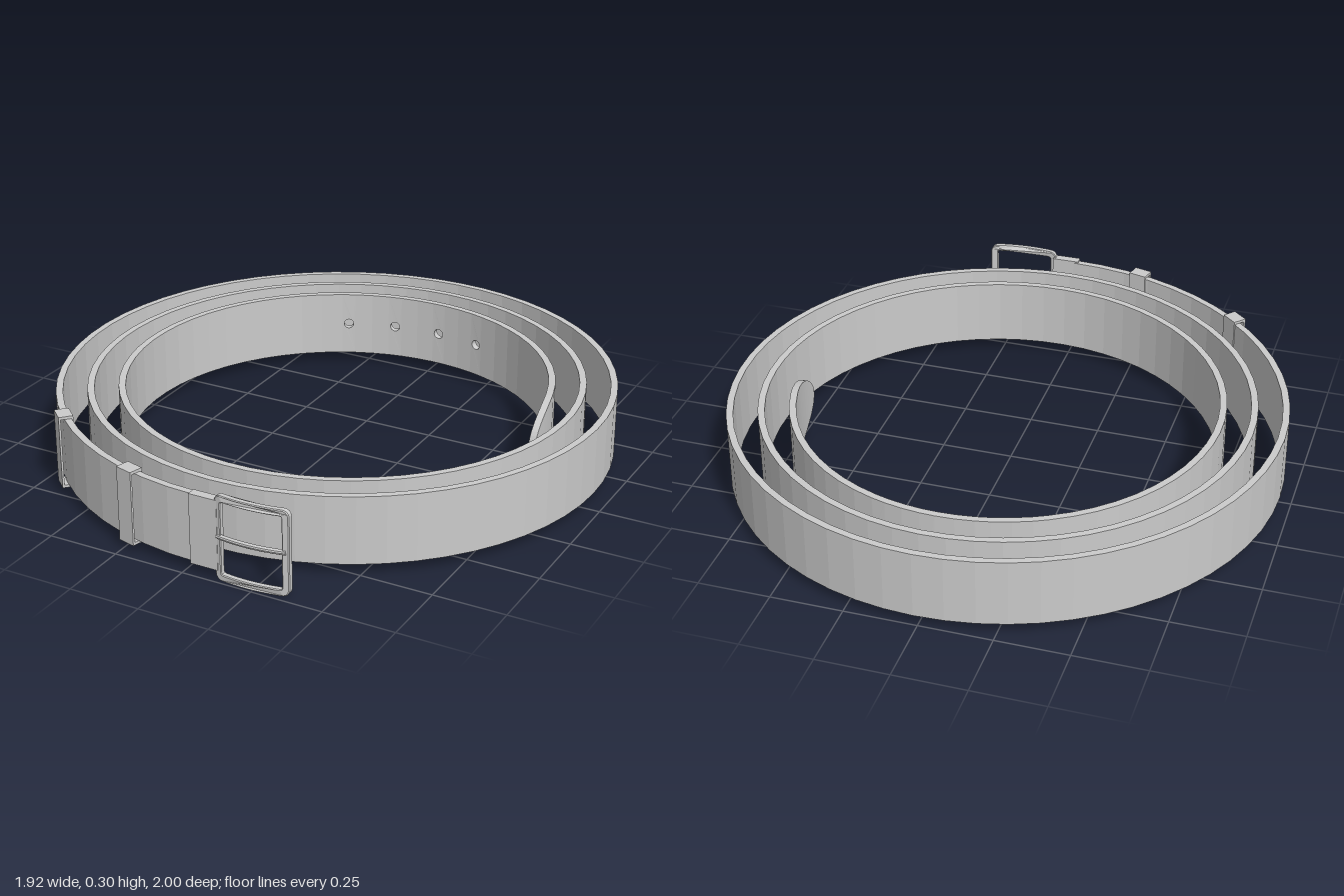
import * as THREE from 'three';
import { mergeGeometries } from 'three/addons/utils/BufferGeometryUtils.js';

const RAD = Math.PI / 180;
const CX = 0.024, CZ = -0.039;         // spiral centre
const MID = 0.156, H = 0.238, T = 0.024; // strap mid height, width, thickness
const radius = (t) => 1.003 - 0.107 * t / (2 * Math.PI);

const material = new THREE.MeshStandardMaterial({ color: 0xcccccc, flatShading: true });

function part(name, geometry) {
  const mesh = new THREE.Mesh(geometry, material);
  mesh.name = name;
  return mesh;
}

// Move every vertex of a geometry by a rule
function warp(geometry, rule) {
  const p = geometry.attributes.position, v = new THREE.Vector3();
  for (let i = 0; i < p.count; i++) {
    rule(v.fromBufferAttribute(p, i));
    p.setXYZ(i, v.x, v.y, v.z);
  }
  const flat = geometry.index ? geometry.toNonIndexed() : geometry;
  flat.computeVertexNormals();
  return flat;
}

// Flat strap space (x = -angle, y = height, z = outward) onto the spiral
function coil(v) {
  const t = -v.x, r = radius(t) + v.z;
  v.set(CX - r * Math.sin(t), MID + v.y, CZ + r * Math.cos(t));
}

// Plain run of strap between two angles in degrees
function plainRun(a, b) {
  const segments = Math.max(1, Math.round((b - a) / 6));
  const g = new THREE.BoxGeometry((b - a) * RAD, H, T, segments, 1, 1);
  return warp(g.translate(-(a + b) / 2 * RAD, 0, 0), coil);
}

// Short patch of strap with a punched hole
function holePatch(a, half) {
  const w = half * RAD, s = new THREE.Shape();
  s.moveTo(-w, -H / 2).lineTo(w, -H / 2).lineTo(w, H / 2).lineTo(-w, H / 2).closePath();
  s.holes.push(new THREE.Path().absellipse(0, 0, 0.018 / radius(a * RAD), 0.018, 0, Math.PI * 2, true));
  const g = new THREE.ExtrudeGeometry(s, { depth: T, bevelEnabled: false, curveSegments: 16 });
  return warp(g.translate(-a * RAD, 0, -T / 2), coil);
}

// Rounded strap end
function tip(a, b) {
  const g = new THREE.BoxGeometry(1, H, T, 14, 1, 1);
  return warp(g, (v) => {
    const f = (0.5 - v.x) * Math.PI / 2;
    v.x = -(a + (b - a) * Math.sin(f)) * RAD;
    v.y *= Math.max(Math.cos(f), 0.02);
    coil(v);
  });
}

function strap() {
  const pieces = [], tipStart = 974, half = 2;
  let from = -1;
  for (const a of [873, 887, 901, 914.5]) {
    pieces.push(plainRun(from, a - half), holePatch(a, half));
    from = a + half;
  }
  pieces.push(plainRun(from, tipStart), tip(tipStart, 990));
  const clean = pieces.map((g) => {
    g.deleteAttribute('uv');
    g.clearGroups();
    return g;
  });
  return part('strap', mergeGeometries(clean));
}

function rectPath(w, h, Path = THREE.Path) {
  return new Path().moveTo(-w / 2, -h / 2).lineTo(w / 2, -h / 2).lineTo(w / 2, h / 2).lineTo(-w / 2, h / 2).closePath();
}

// Hollow band round the strap
function keeper(name, degrees) {
  const t = degrees * RAD, r = radius(t) + 0.007;
  const s = rectPath(0.05, 0.262, THREE.Shape);
  s.holes.push(rectPath(0.036, 0.242));
  const g = new THREE.ExtrudeGeometry(s, { depth: 0.065, bevelEnabled: false });
  const mesh = part(name, g.translate(0, 0, -0.0325));
  mesh.position.set(CX - r * Math.sin(t), MID, CZ + r * Math.cos(t));
  mesh.rotation.y = Math.atan2(-Math.cos(t), -Math.sin(t));
  return mesh;
}

// Evenly spaced points of a rounded rectangle
function roundedPoints(w, h, r) {
  const p = new THREE.Path(), x = w / 2 - r, y = h / 2 - r;
  p.absarc(x, y, r, 0, Math.PI / 2);
  p.absarc(-x, y, r, Math.PI / 2, Math.PI);
  p.absarc(-x, -y, r, Math.PI, Math.PI * 1.5);
  p.absarc(x, -y, r, Math.PI * 1.5, Math.PI * 2);
  p.closePath();
  return p.getSpacedPoints(120).slice(0, -1);
}

// Gentle forward bow of the buckle
const bow = (v) => { v.z += 0.983 - 0.9 * (v.x - 0.22) ** 2; };

function buckle() {
  const group = new THREE.Group();
  group.name = 'buckle';
  const b = 0.003;
  const s = new THREE.Shape(roundedPoints(0.258 - 2 * b, 0.3 - 2 * b, 0.02));
  s.holes.push(new THREE.Path(roundedPoints(0.212 + 2 * b, 0.254 + 2 * b, 0.009)));
  const frame = new THREE.ExtrudeGeometry(s, {
    depth: 0.016, bevelEnabled: true, bevelSize: b, bevelThickness: b, bevelSegments: 1,
  });
  group.add(part('buckleFrame', warp(frame.translate(0.243, 0.15, -0.008), bow)));

  // Prong lying across the frame
  const prong = new THREE.CylinderGeometry(0.009, 0.009, 0.242, 10, 12).rotateZ(Math.PI / 2);
  group.add(part('prong', warp(prong.translate(0.241, 0.154, 0.007), bow)));
  return group;
}

export function createModel() {
  const model = new THREE.Group();
  model.name = 'coiledBelt';
  model.add(strap(), keeper('innerKeeper', 14.5), keeper('outerKeeper', 41.7), buckle());

  // Leather folded round the buckle bar
  const fold = part('buckleFold', new THREE.BoxGeometry(0.1, 0.246, 0.032));
  fold.position.set(0.074, 0.157, 0.971);
  model.add(fold);
  return model;
}
